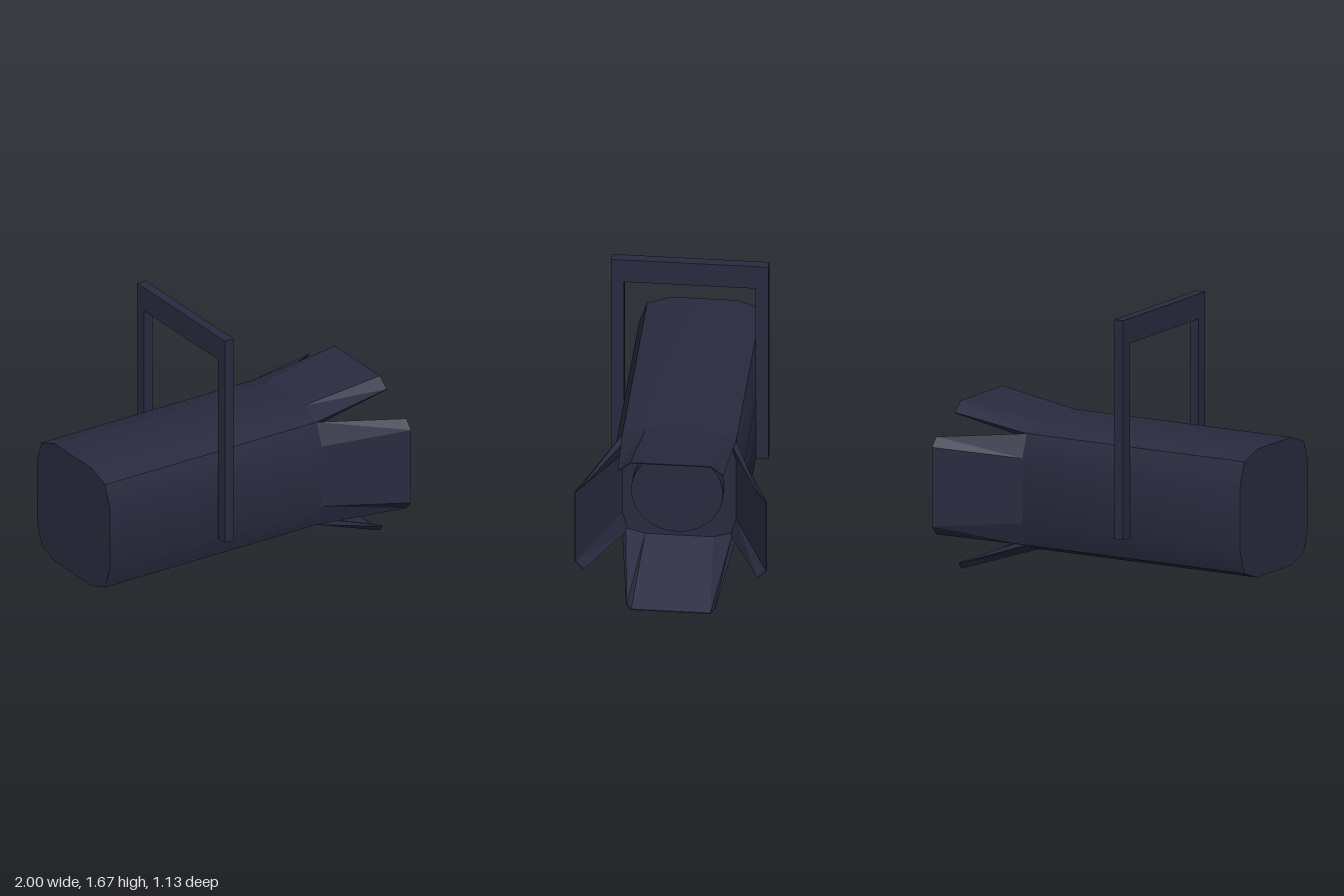
import * as THREE from 'three';
import { toCreasedNormals } from 'three/addons/utils/BufferGeometryUtils.js';

const material = new THREE.MeshStandardMaterial({ color: 0x2a2a40 });

// Solid skinned along x; each section is { x, ring: [[y, z], ...] }.
function loft(sections) {
  const pos = [];
  const n = sections[0].ring.length;
  const at = (s, i) => {
    const [y, z] = sections[s].ring[i % n];
    return [sections[s].x, y, z];
  };
  const quad = (a, b, c, d) => pos.push(...a, ...b, ...c, ...a, ...c, ...d);
  const last = sections.length - 1;
  for (let s = 0; s < last; s++) {
    for (let i = 0; i < n; i++) quad(at(s, i), at(s, i + 1), at(s + 1, i + 1), at(s + 1, i));
  }
  // end caps, as strips across the ring
  for (let i = 0; i < n / 2 - 1; i++) {
    quad(at(last, i), at(last, i + 1), at(last, n - 2 - i), at(last, n - 1 - i));
    quad(at(0, n - 1 - i), at(0, n - 2 - i), at(0, i + 1), at(0, i));
  }
  const geo = new THREE.BufferGeometry();
  geo.setAttribute('position', new THREE.Float32BufferAttribute(pos, 3));
  geo.computeVertexNormals();
  return geo;
}

function addMesh(parent, name, geometry) {
  const mesh = new THREE.Mesh(geometry, material);
  mesh.name = name;
  parent.add(mesh);
  return mesh;
}

// Twelve-sided housing section: four flats with two-step corners.
function housingRing() {
  const ring = [];
  for (let k = 0; k < 4; k++) {
    const c = Math.round(Math.cos(k * Math.PI / 2));
    const s = Math.round(Math.sin(k * Math.PI / 2));
    for (const [v, u] of [[0.384, -0.195], [0.384, 0.195], [0.335, 0.335]]) {
      ring.push([v * c - u * s, v * s + u * c]);
    }
  }
  return ring;
}

// Bent flap section: flat centre, sloping sides, and an inner skin.
function flapRing(flat, height, side, sideHeight, inFlat, inHeight, inSide, inSideHeight) {
  return [
    [sideHeight, -side], [height, -flat], [height, flat], [sideHeight, side],
    [inSideHeight, inSide], [inHeight, inFlat], [inHeight, -inFlat], [inSideHeight, -inSide],
  ];
}

export function createModel() {
  const model = new THREE.Group();
  model.name = 'spotlight';

  const lamp = new THREE.Group();
  lamp.name = 'lamp';
  lamp.position.set(0, 0.552, 0.003);
  model.add(lamp);

  // housing
  const ring = housingRing();
  const housing = loft([{ x: -1, ring }, { x: 0.49, ring }]);
  addMesh(lamp, 'housing', toCreasedNormals(housing, 0.6));

  // lens
  const lens = new THREE.CylinderGeometry(0.27, 0.27, 0.12, 40).rotateZ(-Math.PI / 2);
  addMesh(lamp, 'lens', lens).position.set(0.51, 0.008, 0.005);

  // four flared flaps: [name, flat half width, height, side half width, side height] at the tip
  const flaps = [
    ['topFlap', 0.237, 0.457, 0.31, 0.4],
    ['frontFlap', 0.237, 0.565, 0.292, 0.515],
    ['bottomFlap', 0.235, 0.552, 0.262, 0.515],
    ['backFlap', 0.237, 0.565, 0.292, 0.515],
  ];
  flaps.forEach(([name, flat, height, side, sideHeight], k) => {
    const base = flapRing(0.195, 0.384, 0.335, 0.335, 0.2, 0.334, 0.315, 0.3);
    const tip = flapRing(flat, height, side, sideHeight,
      flat - 0.002, height - 0.006, side - 0.004, sideHeight - 0.006);
    const flap = addMesh(lamp, name, loft([{ x: 0.49, ring: base }, { x: 1, ring: tip }]));
    flap.rotation.x = k * Math.PI / 2;
  });

  // carrying yoke: two legs and a crossbar cut from one plate
  const outline = new THREE.Shape([
    [-0.47, 0.355], [-0.395, 0.355], [-0.395, 1.52], [0.38, 1.52],
    [0.38, 0.355], [0.455, 0.355], [0.455, 1.67], [-0.47, 1.67],
  ].map(([x, y]) => new THREE.Vector2(x, y)));
  const yoke = new THREE.ExtrudeGeometry(outline, { depth: 0.06, bevelEnabled: false });
  yoke.rotateY(Math.PI / 2);
  addMesh(model, 'yoke', yoke).position.x = -0.245;

  return model;
}
